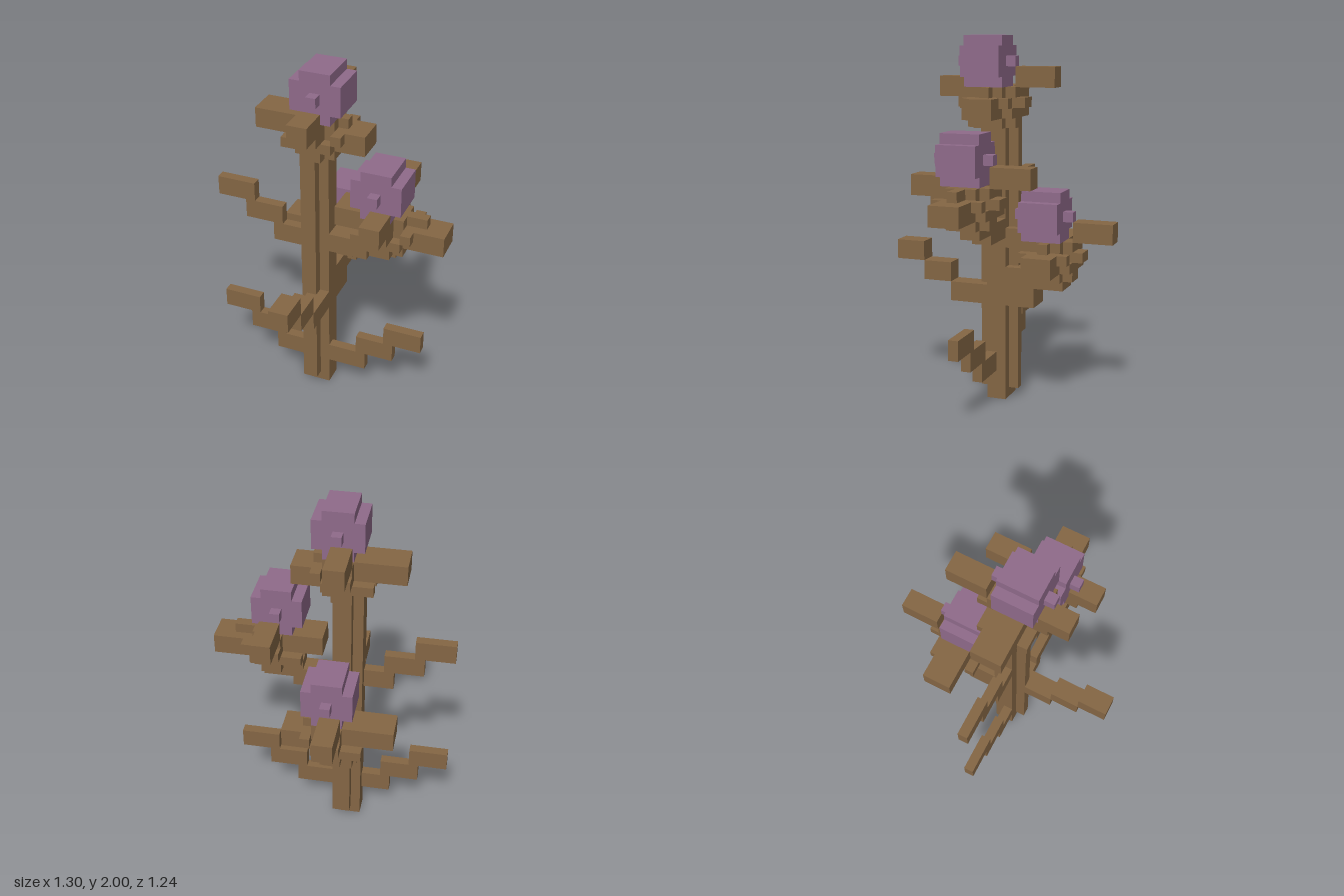
import * as THREE from 'three';

const U = 2 / 37; // one voxel
const brown = new THREE.MeshStandardMaterial({ color: 0x846644 });
brown.name = 'stem brown';
const purple = new THREE.MeshStandardMaterial({ color: 0x8f6a8a });
purple.name = 'bloom purple';

// Box between two corners given in voxels
function box(parent, name, mat, x0, x1, y0, y1, z0, z1) {
  const g = new THREE.BoxGeometry((x1 - x0) * U, (y1 - y0) * U, (z1 - z0) * U);
  const m = new THREE.Mesh(g, mat);
  m.position.set((x0 + x1) * U / 2, (y0 + y1) * U / 2, (z0 + z1) * U / 2);
  m.name = name;
  parent.add(m);
}

// Flower; cup and side leaves may sit sideways of the bloom by cupX and sideX
function flower(name, x, y, z, cupX = 0, sideX = 0) {
  const f = new THREE.Group();
  f.name = name;
  f.position.set(x * U, y * U, z * U);

  box(f, 'bloomCore', purple, -2, 1, 32, 37, -0.5, 3.5);
  box(f, 'bloomBody', purple, -3, 2, 33, 36, -0.5, 3.5);
  box(f, 'bloomBud', purple, -1, 0, 34, 35, -1.5, 4.5);

  // stepped cup with corner knobs
  const cup = new THREE.Group();
  cup.name = 'cup';
  cup.position.x = cupX * U;
  f.add(cup);
  box(cup, 'cupBase', brown, -3, 1, 28, 29, -0.5, 2.5);
  box(cup, 'cupBaseCross', brown, -2, 0, 28, 29, -1.5, 3.5);
  box(cup, 'cupMiddle', brown, -3, 1, 29, 30, -1.5, 3.5);
  box(cup, 'cupTop', brown, -3, 1, 30, 32, -0.5, 2.5);
  box(cup, 'cupRidge', brown, -2, 0, 30, 32, -1.5, 3.5);
  box(cup, 'cupTips', brown, -2, 0, 30, 31, -2.5, 4.5);
  box(cup, 'cupLeftTip', brown, -4, -3, 29, 30, 0.5, 1.5);
  for (const zc of [-1.5, 2.5]) {
    box(cup, 'cupKnob', brown, -4, -3, 29, 30, zc, zc + 1);
    box(cup, 'cupKnob', brown, 1, 2, 30, 31, zc, zc + 1);
  }
  box(cup, 'frontLeaf', brown, -2, 0, 31, 33, 3.5, 6.5);
  box(cup, 'backLeaf', brown, -2, 0, 32, 34, -5.5, -1.5);

  // side leaves
  const side = new THREE.Group();
  side.name = 'sideLeaves';
  side.position.x = sideX * U;
  f.add(side);
  box(side, 'sideLeaf', brown, -7, -3, 30, 32, -0.5, 2.5);
  box(side, 'sideLeaf', brown, 0, 4, 29, 31, -0.5, 2.5);
  box(side, 'leafTip', brown, 0, 2, 31, 32, 0.5, 1.5);
  return f;
}

export function createModel() {
  const root = new THREE.Group();
  root.name = 'plant';

  // main stem
  box(root, 'stem', brown, -3, 0, 0, 28, -0.5, 1.5);
  box(root, 'stemRib', brown, -2, -1, 1, 28, -1.5, 2.5);

  // stepped twigs
  for (const y of [3, 17]) {
    box(root, 'twig', brown, -6, -3, y, y + 2, 0.5, 1.5);
    box(root, 'twig', brown, -9, -5, y + 2, y + 4, 0.5, 1.5);
    box(root, 'twig', brown, -12, -8, y + 4, y + 6, 0.5, 1.5);
  }
  for (let i = 0; i < 3; i++) {
    box(root, 'twig', brown, i * 3, i * 3 + 4, 3 + 2 * i, 5 + 2 * i, 0.5, 1.5);
    box(root, 'frontTwig', brown, -2, 0, 10 + 2 * i, 12 + 2 * i, (i ? 2.5 : 1.5) + 3 * i, 5.5 + 3 * i);
  }

  // branches carrying the lower flowers
  box(root, 'sideBranch', brown, 0, 4, 17, 19, -0.5, 1.5);
  box(root, 'sideBranch', brown, 3, 7, 18, 20, -0.5, 1.5);
  box(root, 'backBranch', brown, -3, 0, 10, 12, -3.5, -0.5);
  box(root, 'backBranch', brown, -3, 0, 12, 14, -6.5, -0.5);

  root.add(flower('topFlower', 0, 0, 0));
  root.add(flower('sideFlower', 6, -9, 0, 1, 2));
  root.add(flower('backFlower', 0, -15, -6));
  return root;
}
